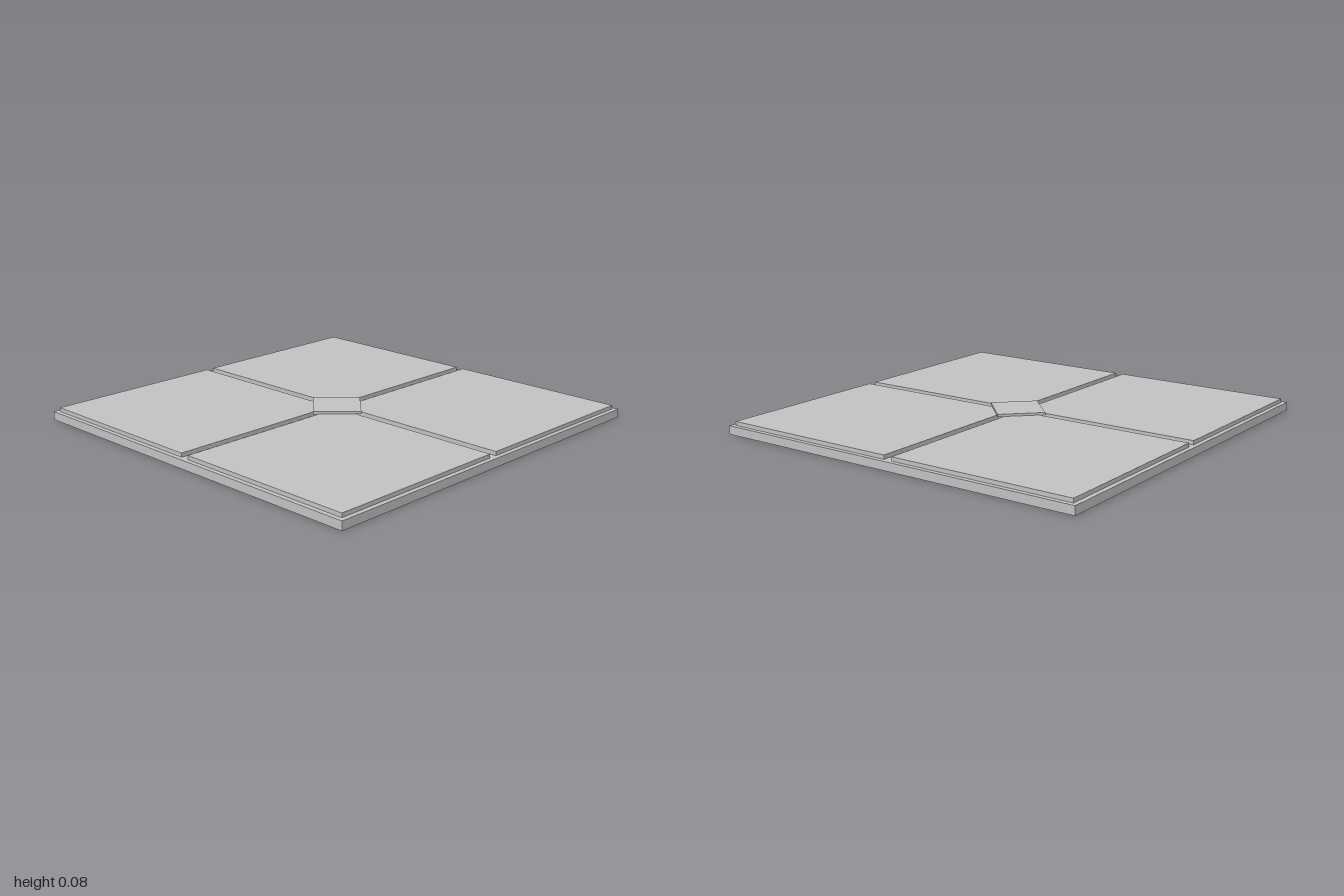
import * as THREE from 'three';

// Box standing on y0, optionally without its underside
function slab(name, material, [w, h, d], [x, y0, z], openBottom = false) {
  const geometry = new THREE.BoxGeometry(w, h, d);
  if (openBottom) {
    // drop the six indices of the -y face
    const index = Array.from(geometry.index.array);
    index.splice(18, 6);
    geometry.setIndex(index);
    geometry.clearGroups();
  }
  const mesh = new THREE.Mesh(geometry, material);
  mesh.name = name;
  mesh.position.set(x, y0 + h / 2, z);
  return mesh;
}

export function createModel() {
  const group = new THREE.Group();
  group.name = 'floorTile';

  const stone = new THREE.MeshStandardMaterial({ color: 0xc0c0c0 });
  stone.name = 'light grey';
  stone.side = THREE.DoubleSide;

  const baseTop = 0.043, panelTop = 0.063, diamondTop = 0.075;

  // Hollow base tray, open underneath
  group.add(slab('base', stone, [2, baseTop, 2], [0, 0, 0], true));

  // Four raised panels separated by a cross of grooves
  const inner = 0.022, outer = 0.977;
  const size = outer - inner, mid = (outer + inner) / 2;
  for (const sx of [-1, 1]) {
    for (const sz of [-1, 1]) {
      const name = (sz > 0 ? 'front' : 'back') + (sx > 0 ? 'Left' : 'Right') + 'Panel';
      group.add(slab(name, stone, [size, panelTop - baseTop, size], [sx * mid, baseTop, sz * mid], true));
    }
  }

  // Diamond inlay over the crossing
  const side = 0.168 * Math.SQRT2;
  const diamond = slab('centreDiamond', stone, [side, diamondTop - panelTop + 0.002, side], [0, panelTop - 0.002, 0]);
  diamond.rotation.y = Math.PI / 4;
  group.add(diamond);

  return group;
}
